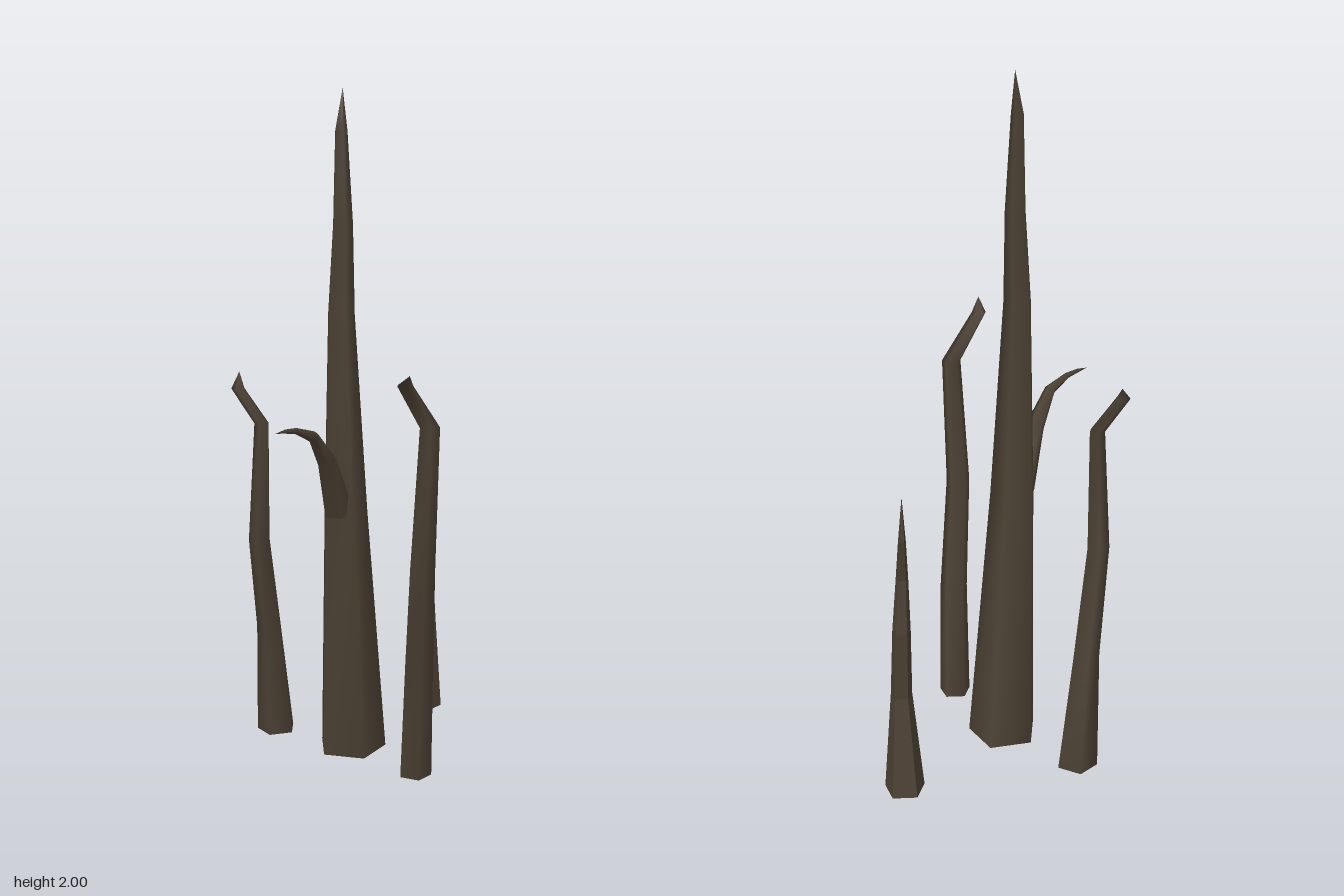
import * as THREE from 'three';

const SIDES = 5;

// Tapered five-sided limb through rings of [x, y, z, radius]; the last ring is a point.
// tilt turns each ring square to the path, otherwise rings stay level.
function limbGeometry(rings, phaseDeg, { tilt = false, flat = false } = {}) {
  const pos = [], index = [];
  const up = new THREE.Vector3(0, 1, 0);
  const points = rings.map(([x, y, z]) => new THREE.Vector3(x, y, z));
  rings.forEach((ring, k) => {
    const q = new THREE.Quaternion();
    if (tilt) {
      const a = points[Math.max(k - 1, 0)], b = points[Math.min(k + 1, points.length - 1)];
      q.setFromUnitVectors(up, b.clone().sub(a).normalize());
    }
    for (let i = 0; i < SIDES; i++) {
      const t = THREE.MathUtils.degToRad(phaseDeg) + (i / SIDES) * Math.PI * 2;
      const v = new THREE.Vector3(Math.cos(t), 0, Math.sin(t)).multiplyScalar(ring[3]);
      pos.push(...v.applyQuaternion(q).add(points[k]).toArray());
    }
  });
  // Side faces
  for (let k = 0; k < rings.length - 1; k++) {
    for (let i = 0; i < SIDES; i++) {
      const a = k * SIDES + i, b = k * SIDES + (i + 1) % SIDES;
      index.push(b, a, a + SIDES);
      if (rings[k + 1][3] > 0) index.push(b, a + SIDES, b + SIDES);
    }
  }
  // Bottom cap with its own corners, so its edge stays sharp
  const first = pos.length / 3;
  pos.push(...pos.slice(0, SIDES * 3));
  for (let i = 1; i < SIDES - 1; i++) index.push(first, first + i, first + i + 1);

  let geo = new THREE.BufferGeometry();
  geo.setAttribute('position', new THREE.Float32BufferAttribute(pos, 3));
  geo.setIndex(index);
  if (flat) geo = geo.toNonIndexed();
  geo.computeVertexNormals();
  return geo;
}

export function createModel() {
  const group = new THREE.Group();
  group.name = 'deadTrees';
  const bark = new THREE.MeshStandardMaterial({ color: 0x4b4033 });
  bark.name = 'darkBark';

  const add = (name, rings, phase, options) => {
    const mesh = new THREE.Mesh(limbGeometry(rings, phase, options), bark);
    mesh.name = name;
    group.add(mesh);
  };

  // Tall central trunk
  add('mainTrunk', [
    [-0.01, 0, -0.105, 0.108],
    [-0.042, 0.78, -0.048, 0.069],
    [-0.053, 1.36, -0.042, 0.042],
    [-0.045, 1.62, -0.05, 0.031],
    [-0.049, 1.88, -0.047, 0.019],
    [-0.04, 2, -0.063, 0],
  ], 8);

  // Curved branch reaching forward from the trunk
  add('trunkBranch', [
    [-0.065, 0.78, -0.02, 0.045],
    [-0.113, 0.95, 0.048, 0.029],
    [-0.165, 1.035, 0.132, 0.017],
    [-0.222, 1.063, 0.18, 0.009],
    [-0.258, 1.068, 0.209, 0.006],
    [-0.288, 1.068, 0.233, 0],
  ], 18, { tilt: true });

  // Bent trunk on the right
  add('rightTrunk', [
    [-0.215, 0, -0.293, 0.062],
    [-0.238, 0.355, -0.267, 0.04],
    [-0.277, 0.66, -0.183, 0.034],
    [-0.265, 1.02, -0.19, 0.023],
    [-0.332, 1.125, -0.214, 0.021],
    [-0.322, 1.17, -0.262, 0],
  ], -23);

  // Bent trunk in front
  add('frontTrunk', [
    [0.133, 0, 0.138, 0.05],
    [0.132, 0.36, 0.173, 0.044],
    [0.111, 0.68, 0.285, 0.038],
    [0.128, 1.08, 0.288, 0.03],
    [0.038, 1.21, 0.37, 0.023],
    [0.036, 1.245, 0.433, 0],
  ], 18);

  // Short pointed sapling at the back left
  add('backSapling', [
    [0.297, 0, -0.39, 0.06],
    [0.3, 0.3, -0.37, 0.032],
    [0.295, 0.51, -0.383, 0.027],
    [0.29, 0.67, -0.376, 0.018],
    [0.287, 0.8, -0.41, 0.011],
    [0.285, 0.93, -0.41, 0],
  ], 18, { flat: true });

  return group;
}
